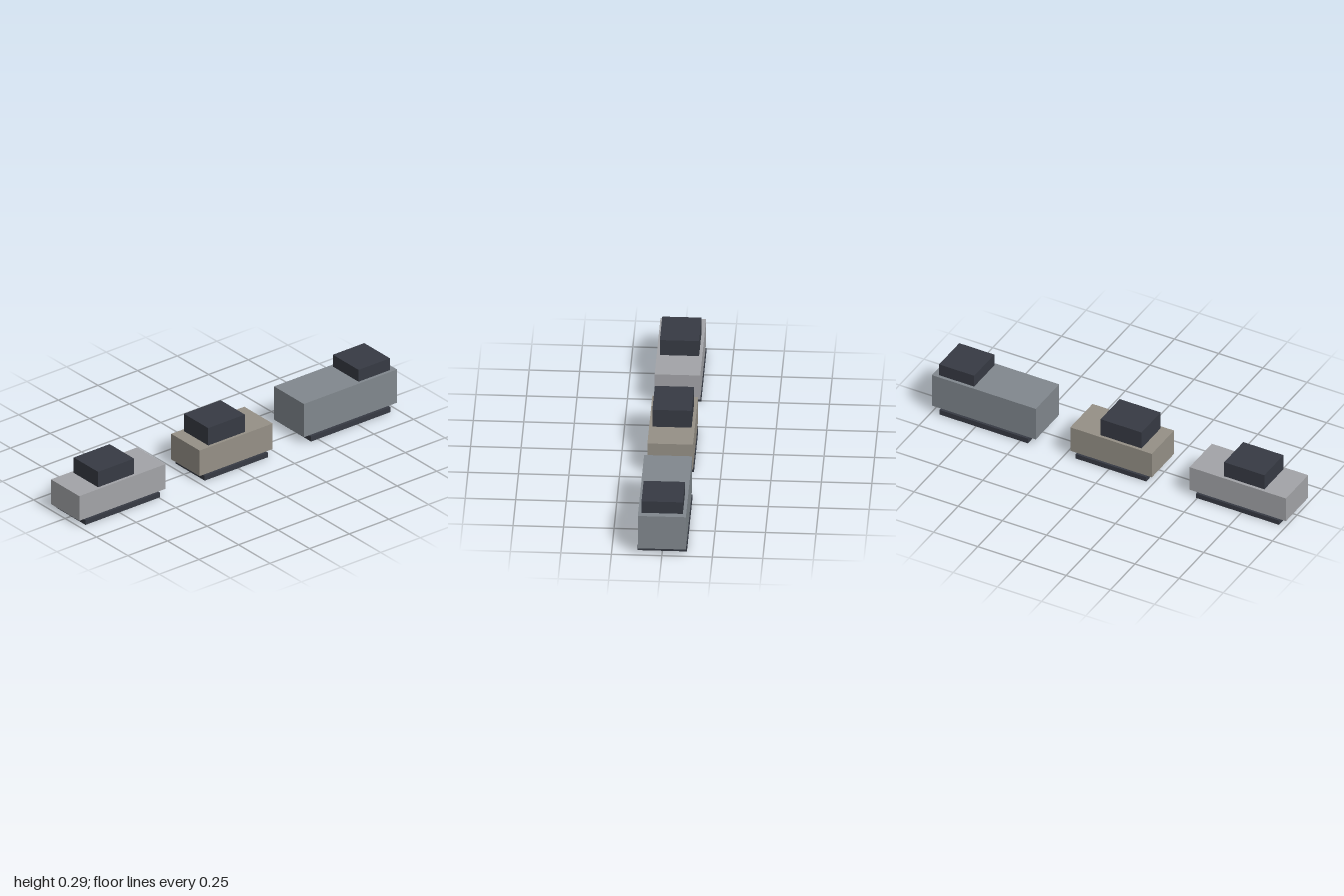
import * as THREE from 'three';

const dark = new THREE.MeshStandardMaterial({ color: 0x363a43 });

// Box given by its extents along x and y, and its half width in z
function block(name, [x0, x1], [y0, y1], halfWidth, material) {
  const mesh = new THREE.Mesh(new THREE.BoxGeometry(x1 - x0, y1 - y0, halfWidth * 2), material);
  mesh.position.set((x0 + x1) / 2, (y0 + y1) / 2, 0);
  mesh.name = name;
  return mesh;
}

// Three simple vehicles in a row: body, cabin on top, dark undercarriage below
const vehicles = [
  { name: 'sedan', color: 0xa2a3a7, w: 0.113,
    body: [[-1, -0.455], [0.034, 0.172]], cabin: [[-0.869, -0.642], [0.172, 0.258]],
    base: [[-0.963, -0.493], [0, 0.026]] },
  { name: 'compactCar', color: 0x959086, w: 0.113,
    body: [[-0.241, 0.22], [0.034, 0.177]], cabin: [[-0.174, 0.057], [0.177, 0.274]],
    base: [[-0.211, 0.188], [0, 0.026]] },
  { name: 'van', color: 0x80878d, w: 0.119,
    body: [[0.412, 1], [0.039, 0.225]], cabin: [[0.77, 0.968], [0.225, 0.291]],
    base: [[0.455, 0.956], [0.002, 0.03]] },
];

export function createModel() {
  const model = new THREE.Group();
  model.name = 'vehicleRow';
  for (const v of vehicles) {
    const vehicle = new THREE.Group();
    vehicle.name = v.name;
    const paint = new THREE.MeshStandardMaterial({ color: v.color });
    vehicle.add(
      block('body', ...v.body, v.w, paint),
      block('cabin', ...v.cabin, v.w * 0.86, dark),
      block('undercarriage', ...v.base, v.w * 1.025, dark),
    );
    model.add(vehicle);
  }
  return model;
}
